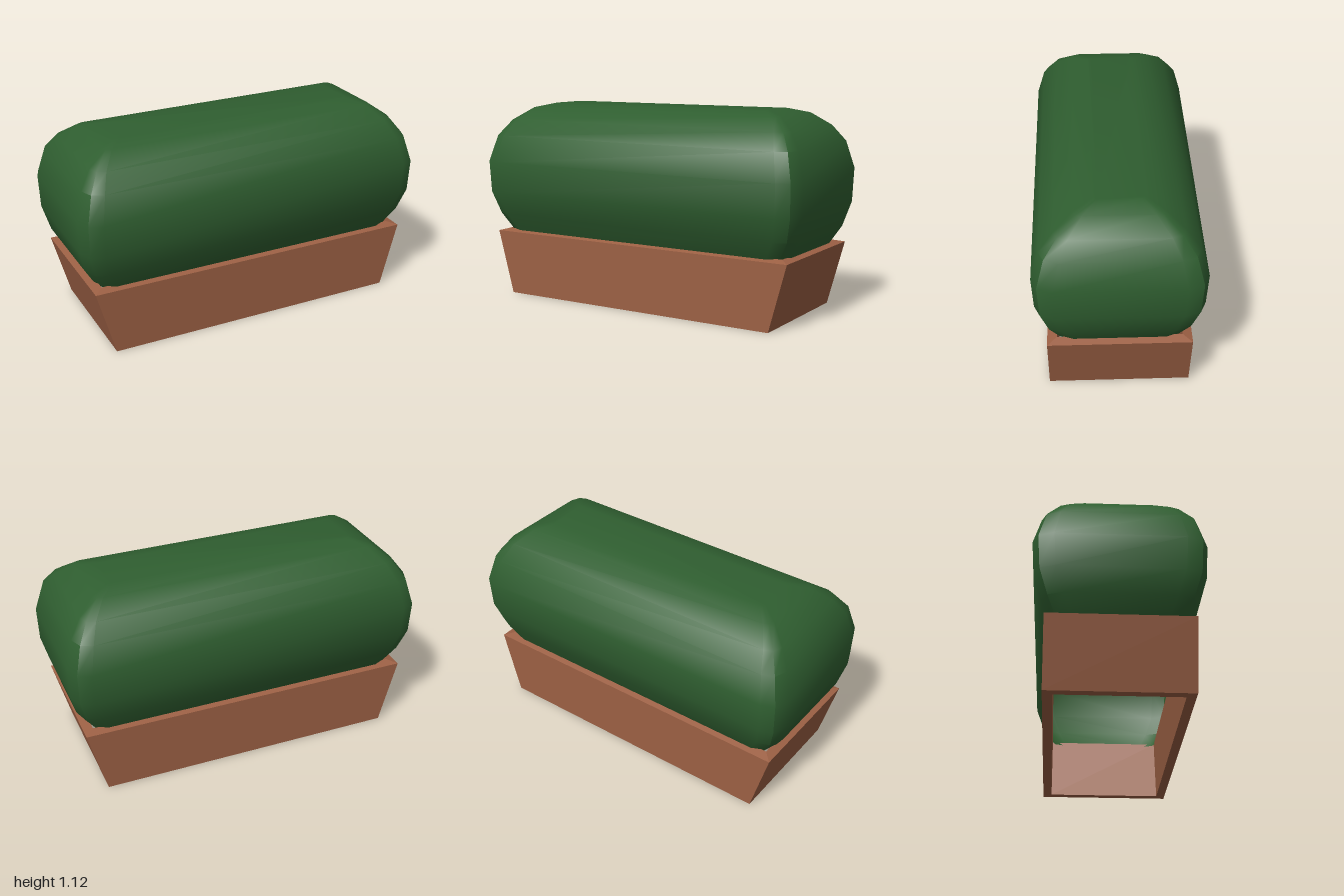
import * as THREE from 'three';
import { toCreasedNormals } from 'three/addons/utils/BufferGeometryUtils.js';

// Skin a stack of equal-length rings; optionally cap the last one.
function loft(rings, { cap = false, closed = false } = {}) {
  const n = rings[0].length;
  const index = [];
  const steps = closed ? rings.length : rings.length - 1;
  for (let r = 0; r < steps; r++) {
    for (let i = 0; i < n; i++) {
      const j = (i + 1) % n;
      const a = r * n + i, b = r * n + j;
      const next = ((r + 1) % rings.length) * n;
      const c = next + j, d = next + i;
      index.push(a, d, b, b, d, c);
    }
  }
  if (cap) {
    const o = (rings.length - 1) * n;
    for (let i = 1; i < n - 1; i++) index.push(o, o + i + 1, o + i);
  }
  const g = new THREE.BufferGeometry();
  g.setAttribute('position', new THREE.Float32BufferAttribute(rings.flat(2), 3));
  g.setIndex(index);
  return g;
}

// Mirror one corner (listed from the end face to the front face) to all four.
function ring(y, corner) {
  const back = [...corner].reverse();
  return [
    ...corner.map(([x, z]) => [x, y, z]),
    ...back.map(([x, z]) => [-x, y, z]),
    ...corner.map(([x, z]) => [-x, y, -z]),
    ...back.map(([x, z]) => [x, y, -z]),
  ];
}

export function createModel() {
  const model = new THREE.Group();

  // Planter: bottomless trough, flared at the ends, rim rising slightly inward
  const planterRings = [
    [0, 0.84, 0.375],
    [0.365, 0.94, 0.375],
    [0.378, 0.89, 0.325],
    [0, 0.79, 0.325],
  ].map(([y, x, z]) => ring(y, [[x, z]]));
  const planter = new THREE.Mesh(
    toCreasedNormals(loft(planterRings, { closed: true }), 0.1),
    new THREE.MeshStandardMaterial({ color: 0x9c6044 })
  );
  planter.name = 'planter';
  model.add(planter);

  // Hedge: rounded block, open underneath; [y, half length, half depth, corner scale]
  const hedgeRings = [
    [0.36, 0.895, 0.338, 0.95],
    [0.47, 0.96, 0.39, 1],
    [0.6, 0.995, 0.432, 1],
    [0.78, 1, 0.442, 1],
    [0.93, 0.96, 0.4, 0.9],
    [1.02, 0.895, 0.325, 0.65],
    [1.09, 0.8, 0.225, 0.4],
    [1.115, 0.7, 0.13, 0.2],
  ].map(([y, x, z, k]) =>
    ring(y, [[x, z - 0.11 * k], [x - 0.03 * k, z - 0.03 * k], [x - 0.1 * k, z]]));
  const hedge = new THREE.Mesh(
    toCreasedNormals(loft(hedgeRings, { cap: true }), 0.7),
    new THREE.MeshStandardMaterial({ color: 0x2f5e30, side: THREE.DoubleSide })
  );
  hedge.name = 'hedge';
  model.add(hedge);

  return model;
}
